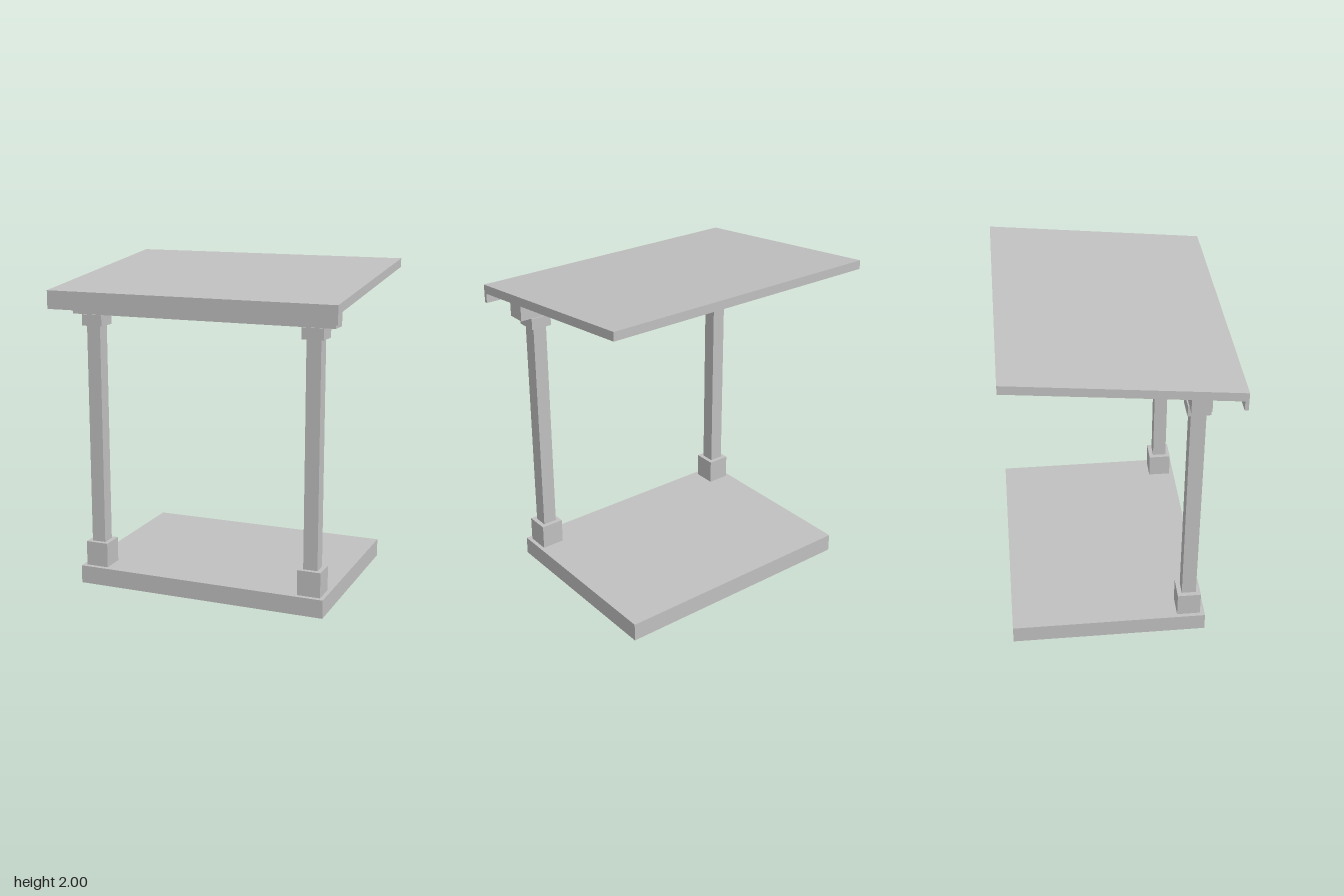
import * as THREE from 'three';

export function createModel() {
  const model = new THREE.Group();
  model.name = 'shelter';
  const grey = new THREE.MeshStandardMaterial({ color: 0xc0c0c0 });
  grey.name = 'plain grey';

  // Box given by its width, depth, bottom and top heights, and centre
  const addBox = (parent, name, w, d, y0, y1, x, z) => {
    const mesh = new THREE.Mesh(new THREE.BoxGeometry(w, y1 - y0, d), grey);
    mesh.name = name;
    mesh.position.set(x, (y0 + y1) / 2, z);
    parent.add(mesh);
    return mesh;
  };

  // Floor slab, set back from the front of the roof
  addBox(model, 'floorSlab', 1.594, 1.2, 0, 0.113, 0, -0.07);

  // Square columns with plinth and capital
  const columnZ = 0.429;
  for (const [side, name] of [[1, 'leftColumn'], [-1, 'rightColumn']]) {
    const column = new THREE.Group();
    column.name = name;
    column.position.set(side * 0.7, 0, columnZ);
    addBox(column, 'plinth', 0.144, 0.144, 0.113, 0.268, 0, 0);
    addBox(column, 'shaft', 0.088, 0.088, 0.268, 1.637, 0, 0);
    addBox(column, 'capital', 0.132, 0.132, 1.637, 1.706, 0, 0);
    model.add(column);
  }

  // Beam across the columns
  addBox(model, 'beam', 1.664, 0.116, 1.706, 1.815, 0, columnZ);

  // Sloping roof: a box sheared upward toward the back, ends kept upright
  const roof = addBox(model, 'roof', 1.798, 1.34, 1.878, 1.932, 0, 0);
  const p = roof.geometry.attributes.position;
  for (let i = 0; i < p.count; i++) p.setY(i, p.getY(i) - 0.1015 * p.getZ(i));
  roof.geometry.computeVertexNormals();

  // Fascia board hanging from the front edge of the roof
  addBox(model, 'fascia', 1.798, 0.022, 1.753, 1.82, 0, 0.659);

  return model;
}
